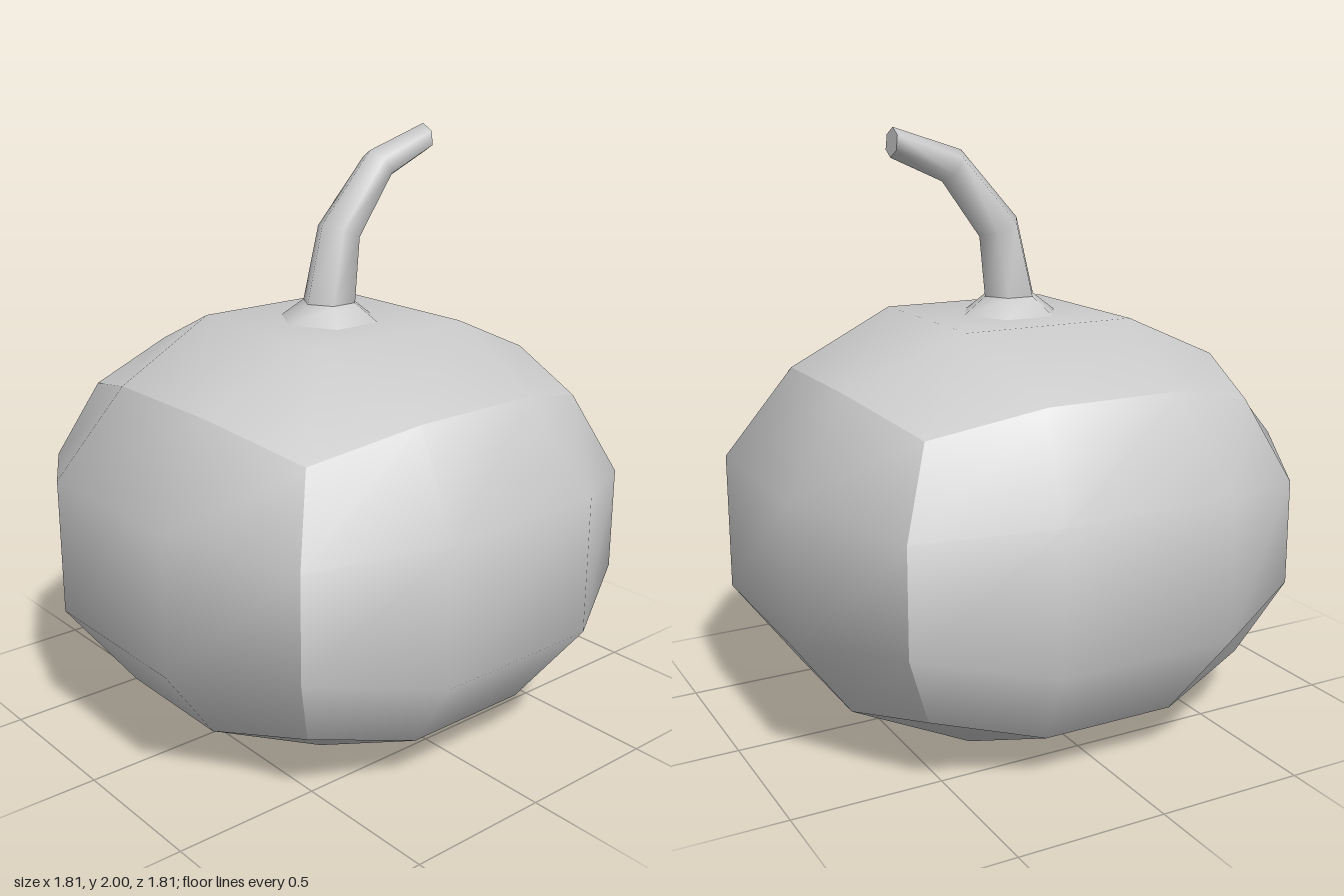
import * as THREE from 'three';

const material = new THREE.MeshStandardMaterial({ color: 0xcccccc });

// Each ring: centre x, centre y, radius, tilt (angle of its in-plane axis above +x)
function hexLoft(rings, capEnd) {
  const pos = [], index = [], sides = 6;
  const addRing = ([cx, cy, r, tilt]) => {
    for (let i = 0; i < sides; i++) {
      const a = (i / sides) * Math.PI * 2, u = Math.cos(a) * r;
      pos.push(cx + u * Math.cos(tilt), cy + u * Math.sin(tilt), Math.sin(a) * r);
    }
  };
  rings.forEach(addRing);
  for (let k = 0; k < rings.length - 1; k++) {
    for (let i = 0; i < sides; i++) {
      const a = k * sides + i, b = k * sides + (i + 1) % sides;
      index.push(a, a + sides, b, b, a + sides, b + sides);
    }
  }
  if (capEnd) {
    const start = pos.length / 3;
    addRing(rings[rings.length - 1]); // separate vertices keep the rim sharp
    for (let i = 1; i < sides - 1; i++) index.push(start, start + i + 1, start + i);
  }
  const geo = new THREE.BufferGeometry();
  geo.setAttribute('position', new THREE.Float32BufferAttribute(pos, 3));
  geo.setIndex(index);
  geo.computeVertexNormals();
  return geo;
}

// Box blown up to a sphere, smooth within each side and sharp where sides meet
function bodyGeometry() {
  const geo = new THREE.BoxGeometry(2, 2, 2, 3, 3, 3);
  const p = geo.attributes.position, v = new THREE.Vector3();
  for (let i = 0; i < p.count; i++) {
    v.fromBufferAttribute(p, i).normalize();
    p.setXYZ(i, v.x, v.y * 0.763 + 0.69, v.z);
  }
  geo.computeVertexNormals();
  return geo;
}

export function createModel() {
  const model = new THREE.Group();
  model.name = 'pumpkin';
  const add = (name, geo) => {
    const mesh = new THREE.Mesh(geo, material);
    mesh.name = name;
    model.add(mesh);
  };

  add('body', bodyGeometry());

  // Flared foot where the stem meets the body
  add('stemBase', hexLoft([
    [-0.012, 1.38, 0.172, 0],
    [-0.012, 1.44, 0.092, 0],
  ], false));

  // Bent, tapering stem with a closed tip
  add('stem', hexLoft([
    [-0.012, 1.44, 0.092, 0],
    [0.03, 1.67, 0.076, -0.4],
    [0.2, 1.875, 0.061, -0.96],
    [0.41, 1.952, 0.048, -1.47],
  ], true));

  return model;
}
